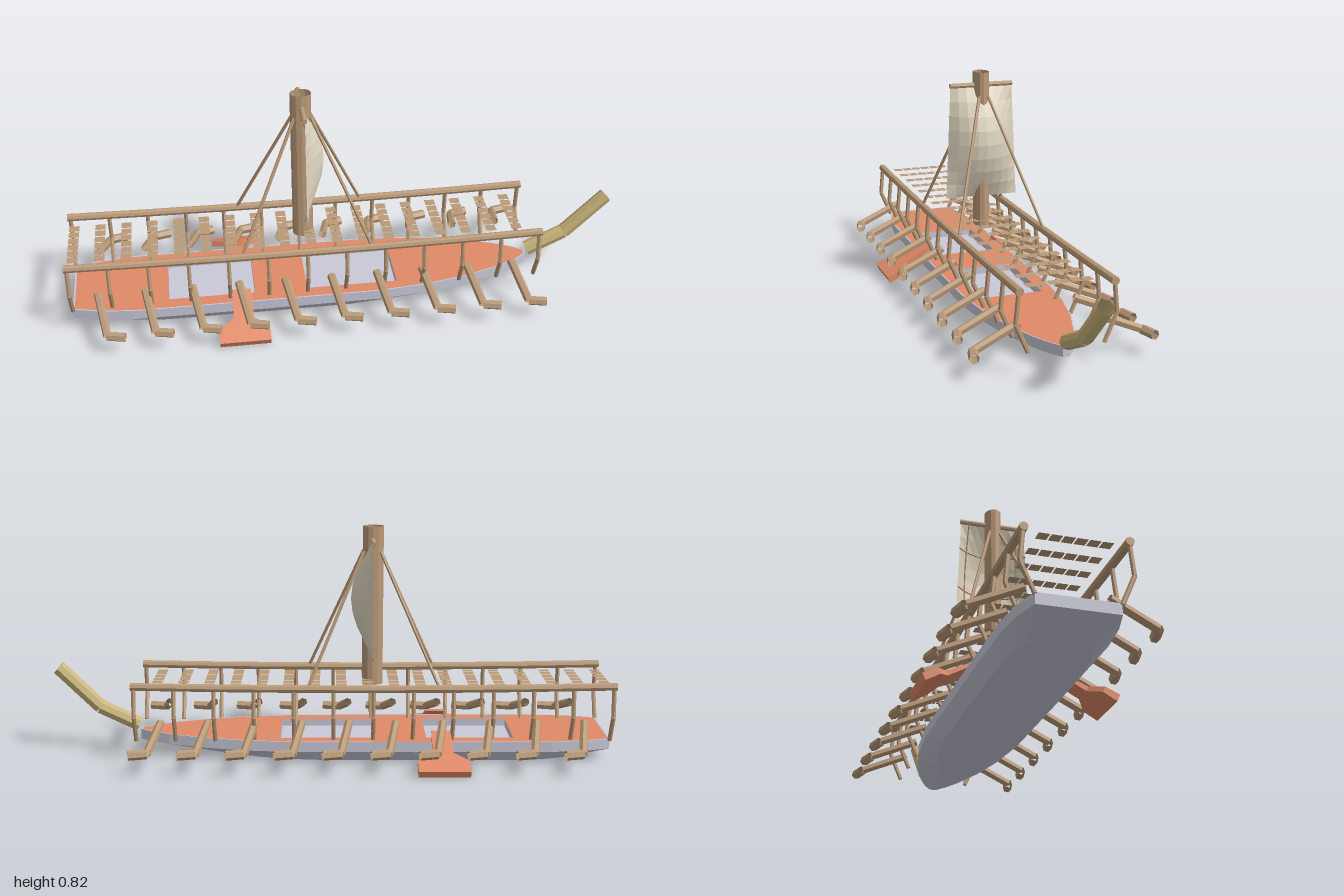
import * as THREE from 'three';
import { mergeGeometries } from 'three/addons/utils/BufferGeometryUtils.js';

const V = (x, y, z) => new THREE.Vector3(x, y, z);
const mat = (name, color) => {
  const m = new THREE.MeshStandardMaterial({ color, side: THREE.DoubleSide, flatShading: true });
  m.name = name;
  return m;
};

export function createModel() {
  const model = new THREE.Group();
  const wood = mat('wood', 0xba9a78);
  const hullGrey = mat('hullGrey', 0xc8c8d8);
  const terracotta = mat('terracotta', 0xe08a67);
  const brass = mat('brass', 0xcab57b);
  const canvas = mat('canvas', 0xdfd6c0);

  const add = (name, geo, material) => {
    const m = new THREE.Mesh(geo, material);
    m.name = name;
    model.add(m);
  };

  // Straight rods joined along a list of points
  const rod = (pts, r, sides = 6, open = false) => mergeGeometries(pts.slice(1).map((b, i) => {
    const a = pts[i], d = b.clone().sub(a);
    const g = new THREE.CylinderGeometry(r, r, d.length(), sides, 1, open);
    g.applyQuaternion(new THREE.Quaternion().setFromUnitVectors(V(0, 1, 0), d.normalize()));
    return g.translate((a.x + b.x) / 2, (a.y + b.y) / 2, (a.z + b.z) / 2);
  }));

  // Hull outlines: half widths along the length, mirrored into closed rings
  const topHalf = [[-0.99, 0.13], [-0.9, 0.154], [-0.78, 0.168], [-0.3, 0.17], [0.12, 0.168],
    [0.3, 0.15], [0.45, 0.118], [0.58, 0.074], [0.65, 0.04], [0.69, 0.012]];
  const ring = (f) => {
    const half = topHalf.map(f);
    return [...half, ...half.slice().reverse().map(([x, z]) => [x, -z])];
  };
  const outer = ring((p) => p);
  const inner = ring(([x, z]) => [-0.15 + (x + 0.15) * 0.993, z * 0.97]);
  const keel = ring(([x, z]) => [-0.195 + (x + 0.15) * 0.744, z * 0.77]);
  const levels = [[keel, 0], [outer, 0.043], [outer, 0.08], [inner, 0.08], [inner, 0.05]];
  const n = outer.length, pos = [], idx = [];
  levels.forEach(([r, y]) => r.forEach(([x, z]) => pos.push(x, y, z)));
  for (let l = 0; l < levels.length - 1; l++) {
    for (let i = 0; i < n; i++) {
      const a = l * n + i, b = l * n + (i + 1) % n;
      idx.push(a, b, b + n, a, b + n, a + n);
    }
  }
  // Keel plate and well floor close the shell
  for (let i = 0; i < n / 2 - 1; i++) {
    const a = i, b = i + 1, c = n - 2 - i, d = n - 1 - i, t = 4 * n;
    idx.push(a, c, b, a, d, c, t + a, t + b, t + c, t + a, t + c, t + d);
  }
  const hull = new THREE.BufferGeometry();
  hull.setAttribute('position', new THREE.Float32BufferAttribute(pos, 3));
  hull.setIndex(idx);
  hull.computeVertexNormals();
  add('hull', hull, hullGrey);

  // Deck with two open wells
  const deck = new THREE.Shape(inner.map(([x, z]) => new THREE.Vector2(x, z)));
  for (const [x0, x1] of [[-0.65, -0.34], [-0.15, 0.18]]) {
    deck.holes.push(new THREE.Path([[x0, -0.115], [x1, -0.115], [x1, 0.115], [x0, 0.115]]
      .map(([x, z]) => new THREE.Vector2(x, z))));
  }
  const deckGeo = new THREE.ExtrudeGeometry(deck, { depth: 0.027, bevelEnabled: false });
  deckGeo.rotateX(-Math.PI / 2).translate(0, 0.052, 0);
  add('deck', deckGeo, [terracotta, hullGrey]);

  // Overhead walkway of small planks between the rails
  const planks = [];
  for (let i = 0; i < 18; i++) {
    for (let j = 0; j < 6; j++) {
      planks.push(new THREE.PlaneGeometry(0.037, 0.034).rotateX(-Math.PI / 2)
        .translate(-0.973 + i * 0.0936, 0.27, (j - 2.5) * 0.039));
    }
  }
  add('walkwayPlanks', mergeGeometries(planks), wood);

  for (const s of [1, -1]) {
    const side = s > 0 ? 'Front' : 'Back';
    // Gently sagging rail
    const sag = new THREE.QuadraticBezierCurve3(V(-1, 0.28, s * 0.161), V(-0.15, 0.262, s * 0.161), V(0.7, 0.28, s * 0.161));
    add('rail' + side, rod(sag.getPoints(6), 0.014, 8), wood);

    // Bent rail posts
    const posts = [];
    for (let i = 0; i < 13; i++) {
      const x = -0.99 + i * 0.14;
      posts.push(rod([V(x, 0.075, s * 0.13), V(x, 0.172, s * 0.172), V(x, 0.275, s * 0.162)], 0.008));
    }
    add('railPosts' + side, mergeGeometries(posts), wood);

    // Oars with hollow bent ends
    const oars = [];
    for (let i = 0; i < 10; i++) {
      const x = -0.896 + i * 0.1664;
      const elbow = V(x + 0.03, 0.077, s * 0.293), tip = V(x + 0.092, 0.077, s * 0.308);
      oars.push(rod([V(x, 0.14, s * 0.13), elbow], 0.015, 6, true), rod([elbow, tip], 0.017, 6, true));
    }
    add('oars' + side, mergeGeometries(oars), wood);

    // Flared steering fin, thickening outward
    const fin = new THREE.Shape([[-0.034, 0], [0.034, 0], [0.036, 0.115], [0.09, 0.155], [0.09, 0.21],
      [-0.09, 0.21], [-0.09, 0.155], [-0.036, 0.115]].map(([x, y]) => new THREE.Vector2(x, y)));
    const finGeo = new THREE.ExtrudeGeometry(fin, { depth: 0.026, bevelEnabled: false });
    const fp = finGeo.attributes.position;
    for (let i = 0; i < fp.count; i++) fp.setZ(i, fp.getZ(i) * (0.35 + 3.1 * fp.getY(i)));
    finGeo.computeVertexNormals();
    finGeo.rotateX(2.0).translate(0, 0.112, 0.134);
    if (s < 0) finGeo.rotateY(Math.PI);
    add('fin' + side, finGeo.translate(-0.39, 0, 0), terracotta);

    // Mast stays
    add('stays' + side, mergeGeometries([[-0.175, -0.38], [-0.117, 0.08]].map(([xa, xb]) =>
      rod([V(xa, 0.735, s * 0.017), V(xb, 0.275, s * 0.16)], 0.006))), wood);
  }

  // Hollow mast and yard
  add('mast', new THREE.CylinderGeometry(0.037, 0.037, 0.572, 12, 1, true)
    .scale(1, 1, 0.78).translate(-0.15, 0.536, 0), wood);
  add('yard', rod([V(-0.148, 0.774, -0.118), V(-0.148, 0.774, 0.118)], 0.009, 8), wood);

  // Sail bellying forward: u runs across, v runs from foot to head
  const sailPoint = (u, v, off = 0) => V(
    -0.147 + 0.075 * Math.sin(Math.PI * v) * (1 - (2 * u - 1) ** 2) - off,
    0.358 + 0.408 * v,
    (1 - 2 * u) * (0.135 - 0.018 * v));
  const sail = new THREE.PlaneGeometry(1, 1, 8, 8);
  const sp = sail.attributes.position;
  for (let i = 0; i < sp.count; i++) {
    const p = sailPoint(sp.getX(i) + 0.5, sp.getY(i) + 0.5);
    sp.setXYZ(i, p.x, p.y, p.z);
  }
  sail.computeVertexNormals();
  add('sail', sail, canvas);

  // Thin ropes behind the sail
  const steps = [0, 0.125, 0.25, 0.375, 0.5, 0.625, 0.75, 0.875, 1];
  const ropes = [0.125, 0.875].map((u) => rod(steps.map((v) => sailPoint(u, v, 0.005)), 0.0025, 4))
    .concat([0.125, 0.375, 0.75].map((v) => rod(steps.map((u) => sailPoint(u, v, 0.005)), 0.0025, 4)));
  add('sailRopes', mergeGeometries(ropes), wood);

  // Upswept prow spar
  add('prowSpar', rod([V(0.695, 0.095, 0), V(0.835, 0.162, 0), V(0.981, 0.308, 0)], 0.027, 8, true), brass);

  return model;
}
